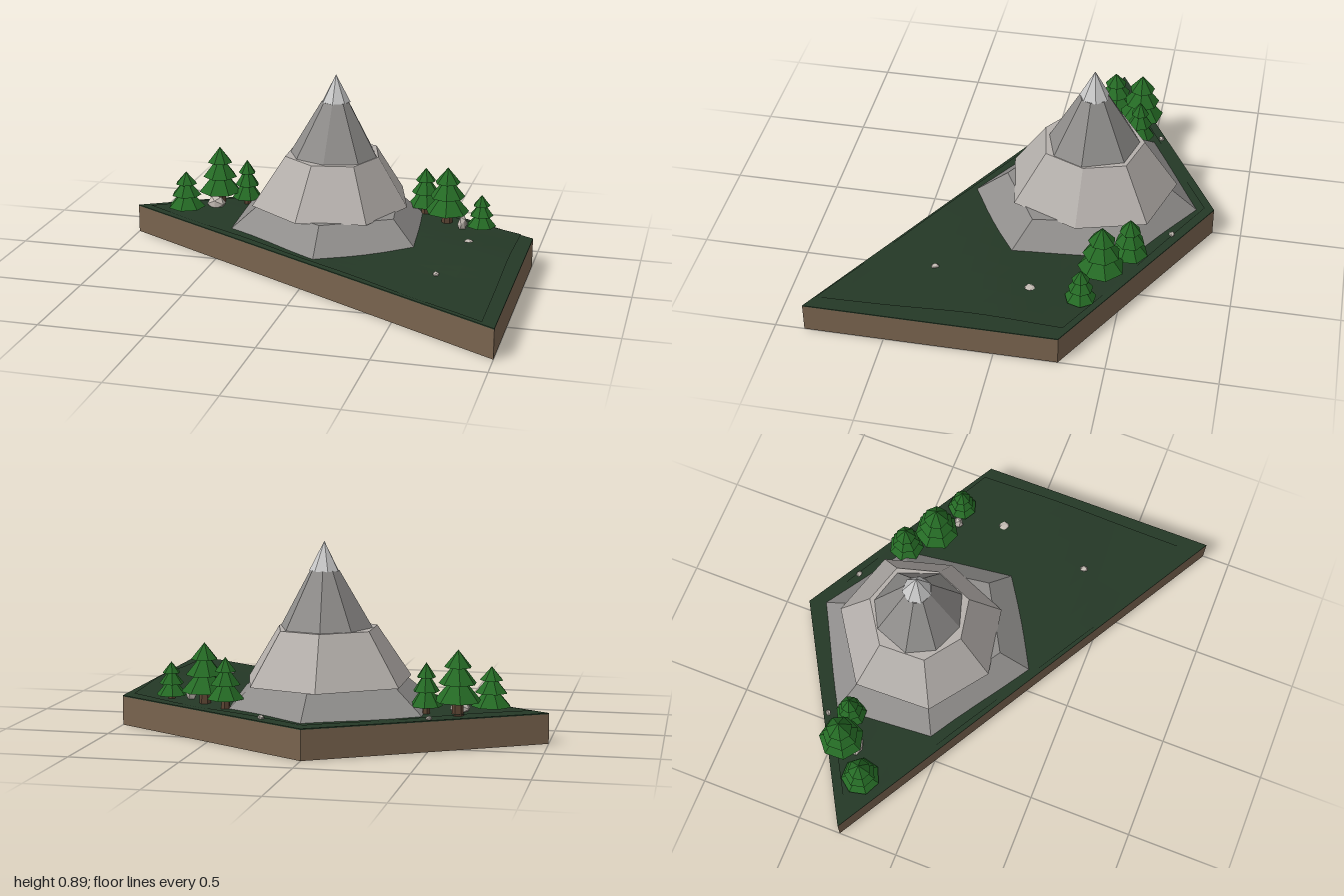
import * as THREE from 'three';

const mat = (name, color, extra = {}) => {
  const m = new THREE.MeshStandardMaterial({ color, flatShading: true, ...extra });
  m.name = name;
  return m;
};

// Closed solid between two rings of [x, z] corners with equal counts
function loft(bottom, y0, top, y1) {
  const pos = [], n = bottom.length;
  const mid = (r) => [0, 1].map((k) => r.reduce((s, p) => s + p[k], 0) / n);
  const cb = mid(bottom), ct = mid(top);
  const at = (p, y) => [p[0], y, p[1]];
  for (let i = 0; i < n; i++) {
    const j = (i + 1) % n;
    const a = at(bottom[i], y0), b = at(bottom[j], y0), c = at(top[j], y1), d = at(top[i], y1);
    pos.push(...a, ...c, ...b, ...a, ...d, ...c);
    pos.push(...at(ct, y1), ...c, ...d, ...at(cb, y0), ...a, ...b);
  }
  const g = new THREE.BufferGeometry();
  g.setAttribute('position', new THREE.Float32BufferAttribute(pos, 3));
  g.computeVertexNormals();
  return g;
}

// Shrinks a ring towards a centre
const shrink = (ring, s, cx = 0.025, cz = -0.28) =>
  ring.map(([x, z]) => [cx + (x - cx) * s, cz + (z - cz) * s]);

export function createModel() {
  const root = new THREE.Group();
  root.name = 'mountainDiorama';
  const soil = mat('soil brown', 0x78634e);
  const grass = mat('grass dark green', 0x243826, { side: THREE.DoubleSide });
  const rock = mat('rock grey', 0x8f8d8b);
  const paleRock = mat('pale rock grey', 0xb5b0ac);
  const peak = mat('peak light grey', 0xcacaca);
  const stone = mat('stone beige grey', 0xc4bcb4);
  const leaf = mat('foliage green', 0x256b25);
  const bark = mat('bark brown', 0x5a4332);

  const add = (name, geo, material, parent = root) => {
    const m = new THREE.Mesh(geo, material);
    m.name = name;
    parent.add(m);
    return m;
  };

  // Four-sided slab with a grass plate on top
  const outline = [[0, -0.865], [1, -0.29], [1, 0.865], [-1, -0.29]];
  add('soilBase', loft(outline, 0, outline, 0.135), soil);
  add('grassPlate', loft(outline, 0.135, outline, 0.14), grass);

  // Gently rolling turf sheet over the slab
  const [back, right, front, left] = [[0, -0.82], [0.94, -0.3], [0.94, 0.82], [-0.93, -0.28]];
  const turf = new THREE.PlaneGeometry(1, 1, 16, 16);
  const p = turf.attributes.position;
  for (let i = 0; i < p.count; i++) {
    const u = p.getX(i) + 0.5, v = p.getY(i) + 0.5;
    const mix = (k) => (1 - v) * ((1 - u) * left[k] + u * front[k]) + v * ((1 - u) * back[k] + u * right[k]);
    const x = mix(0), z = mix(1);
    const rise = 0.027 * THREE.MathUtils.smoothstep(x, 0.2, 0.94) * Math.exp(-(((z - 0.08) / 0.32) ** 2));
    p.setXYZ(i, x, 0.146 + rise + 0.004 * Math.sin(x * 7 + 3.5) * Math.cos(z * 6), z);
  }
  turf.computeVertexNormals();
  add('turf', turf, grass);

  // Mountain: three stacked irregular tiers and a peak
  const mountain = new THREE.Group();
  mountain.name = 'mountain';
  root.add(mountain);
  const foot = [[0.02, -0.79], [0.42, -0.53], [0.5, 0.03], [0.06, 0.28], [-0.44, -0.04], [-0.47, -0.52]];
  const middle = [[-0.02, -0.68], [0.3, -0.58], [0.39, -0.26], [0.26, 0.05], [-0.07, 0.11],
    [-0.34, -0.09], [-0.35, -0.46]];
  const upper = [[0, -0.5], [0.17, -0.45], [0.24, -0.26], [0.18, -0.12], [0.02, -0.07],
    [-0.13, -0.13], [-0.195, -0.26], [-0.13, -0.43]];
  add('lowerTier', loft(foot, 0.14, shrink(foot, 0.72), 0.26), rock, mountain);
  add('middleTier', loft(middle, 0.255, shrink(middle, 0.6), 0.495), paleRock, mountain);
  add('upperTier', loft(upper, 0.49, shrink(upper, 0.31, 0.03), 0.755), rock, mountain);
  const tip = new THREE.ConeGeometry(0.07, 0.135, 7);
  tip.translate(0.028, 0.82, -0.283);
  add('peak', tip, peak, mountain);

  // Pines: x, z, foliage bottom, top, radius
  const pines = [
    [-0.74, -0.28, 0.16, 0.34, 0.093], [-0.61, -0.43, 0.205, 0.435, 0.108],
    [-0.47, -0.44, 0.18, 0.375, 0.075], [0.43, -0.52, 0.19, 0.38, 0.086],
    [0.56, -0.41, 0.2, 0.425, 0.108], [0.74, -0.345, 0.165, 0.32, 0.072],
  ];
  pines.forEach(([x, z, y0, y1, r], t) => {
    const pine = new THREE.Group();
    pine.name = 'pineTree';
    pine.position.set(x, 0, z);
    pine.rotation.y = t * 0.7;
    root.add(pine);
    const h = y1 - y0;
    const trunk = new THREE.CylinderGeometry(r * 0.2, r * 0.25, y0 - 0.09, 6);
    add('trunk', trunk, bark, pine).position.y = (y0 + 0.19) / 2;
    // Bottom height, tip height and radius of each bough layer
    [[0, 0.56, 1], [0.34, 0.82, 0.8], [0.66, 1, 0.58]].forEach(([a, b, s]) => {
      const layer = add('foliage', new THREE.ConeGeometry(r * s, (b - a) * h, 7), leaf, pine);
      layer.position.y = y0 + ((a + b) / 2) * h;
    });
  });

  // Scattered stones: x, y, z, half width, half height
  const stones = [
    [-0.61, 0.16, -0.36, 0.05, 0.04], [0.65, 0.17, -0.33, 0.027, 0.045],
    [0.72, 0.158, -0.11, 0.032, 0.014], [0.555, 0.15, -0.02, 0.013, 0.012],
    [0.585, 0.15, 0, 0.01, 0.01], [0.65, 0.155, 0.34, 0.02, 0.013],
    [0.22, 0.146, -0.69, 0.018, 0.012], [-0.5, 0.145, -0.55, 0.016, 0.012],
  ];
  stones.forEach(([x, y, z, w, h], i) => {
    const s = add('stone', new THREE.IcosahedronGeometry(1, 0), stone);
    s.position.set(x, y, z);
    s.scale.set(w, h, w * 0.8);
    s.rotation.y = i;
  });
  return root;
}
